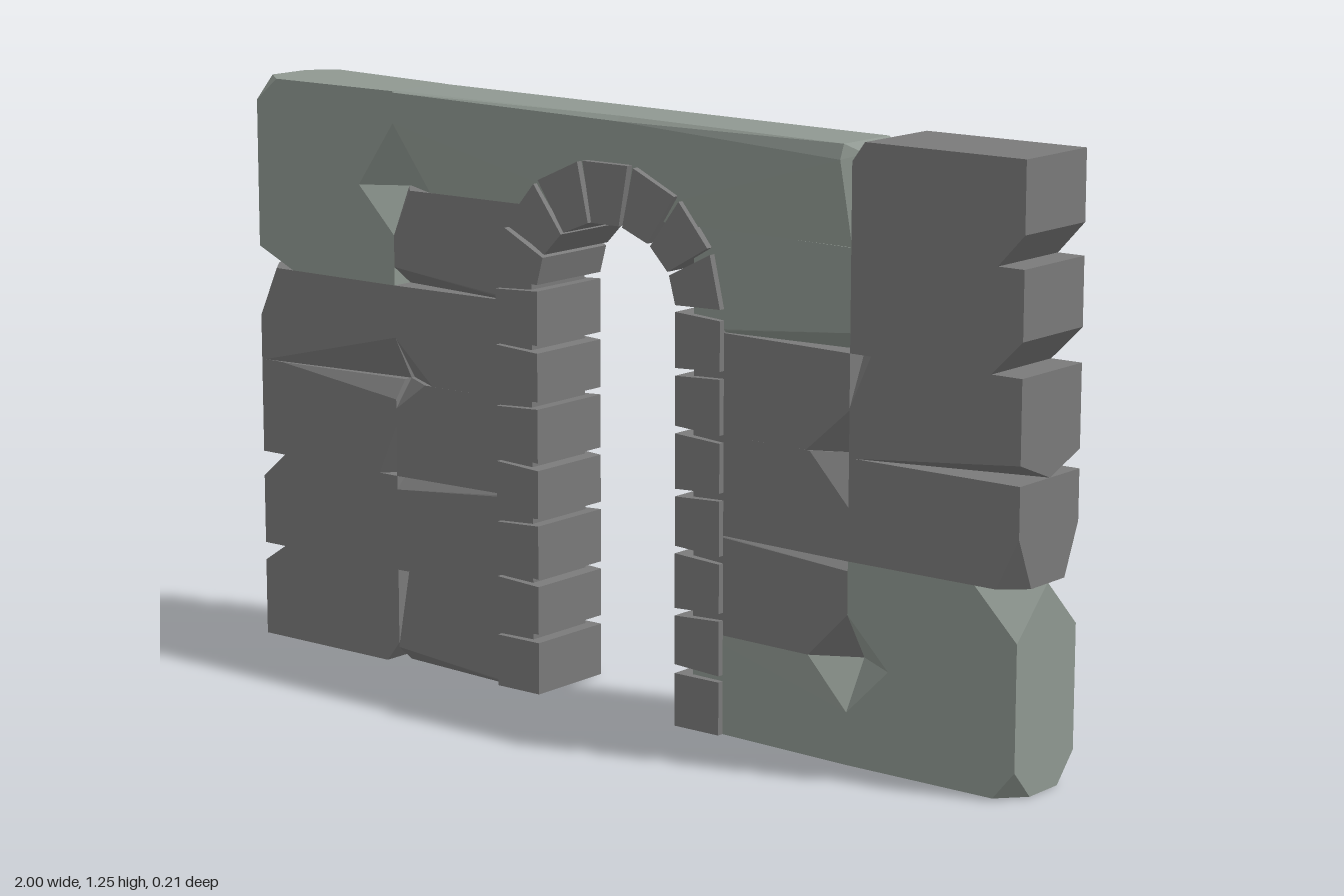
import * as THREE from 'three';
import { ConvexGeometry } from 'three/addons/geometries/ConvexGeometry.js';

const darkStone = new THREE.MeshStandardMaterial({ color: 0x7a7a7a, flatShading: true });
const paleStone = new THREE.MeshStandardMaterial({ color: 0x8f9891, flatShading: true });

const ROW = 1.25 / 6;
const COLUMNS = { outerLeft: [-1, -0.6], innerLeft: [-0.6, -0.23], innerRight: [0.2, 0.6], outerRight: [0.6, 1] };

// half thickness of the wall: full at the ends, slightly thinner beside the arch
const depth = (x) => 0.103 - Math.min(0.017, Math.max(0, 0.6 - Math.abs(x)) * 0.055);

function hull(name, points, material) {
  const mesh = new THREE.Mesh(new ConvexGeometry(points.map((p) => new THREE.Vector3(...p))), material);
  mesh.name = name;
  return mesh;
}

// Block with chipped corners. Key: b/t (bottom/top) + l/r (low x/high x).
// Value [dx, dy, dz, side]: dz = 0 bevels the whole edge; side limits the chip to front (1) or back (-1).
function block(name, [x0, x1], y0, y1, cuts, material) {
  const points = [];
  for (const [v, y, sy] of [['b', y0, 1], ['t', y1, -1]])
    for (const [h, x, sx] of [['l', x0, 1], ['r', x1, -1]])
      for (const side of [1, -1]) {
        const cut = cuts[v + h];
        if (!cut || (cut[3] && cut[3] !== side)) {
          points.push([x, y, side * depth(x)]);
          continue;
        }
        const [dx, dy, dz] = cut;
        const xi = x + sx * dx;
        points.push([xi, y, side * depth(xi)], [x, y + sy * dy, side * depth(x)]);
        if (dz) points.push([x, y, side * (depth(x) - dz)]);
      }
  return hull(name, points, material);
}

// Chips for each column, from the bottom row up
const star = [0.1, 0.1, 0.06];
const CHIPS = {
  outerLeft: [
    { tl: [0.06, 0.04, 0], br: [0.035, 0.045, 0] },
    { tl: [0.065, 0.055, 0] },
    { tl: [0.06, 0.045, 0], br: [0.05, 0.11, 0.06], tr: [0.4, 0.04, 0.03] },
    { bl: [0.01, 0.01, 0], br: [0.4, 0.095, 0.05], tl: [0.05, 0.11, 0.06] },
    { bl: [0.1, 0.045, 0.1], tr: star },
    { tl: [0.06, 0.05, 0.05], br: [0.1, 0.14, 0.06], tr: [0.35, 0.03, 0.04, -1] },
  ],
  innerLeft: [
    { bl: [0.33, 0.035, 0.04], tl: [0.03, 0.17, 0.04] },
    { tl: [0.33, 0.03, 0.03] },
    { tl: [0.08, 0.06, 0.05] },
    { bl: [0.1, 0.095, 0.06] },
    { bl: [0.33, 0.04, 0.05], tl: [0.045, 0.1, 0.05] },
  ],
  innerRight: [
    { tr: star },
    { br: star, tr: [0.36, 0.02, 0.03] },
    { tr: [0.1, 0.1, 0.06] },
    { br: [0.11, 0.095, 0.06] },
    { br: [0.37, 0.04, 0.05] },
  ],
  outerRight: [
    { br: [0.05, 0.06, 0.055], tl: star },
    { bl: star, tr: [0.1, 0.1, 0.105] },
    { br: [0.05, 0.105, 0.045] },
    { br: [0.39, 0.04, 0.103], tl: [0.05, 0.11, 0.05] },
    { br: [0.07, 0.07, 0] },
    { br: [0.06, 0.065, 0], tl: [0.03, 0.04, 0] },
  ],
};
const PALE = { outerLeft: [4, 5], innerLeft: [], innerRight: [0, 4], outerRight: [0, 1] };

function createWall() {
  const wall = new THREE.Group();
  wall.name = 'wallBlocks';
  for (const column in COLUMNS)
    CHIPS[column].forEach((cuts, row) => {
      const material = PALE[column].includes(row) ? paleStone : darkStone;
      wall.add(block(column + 'Block', COLUMNS[column], row * ROW, (row + 1) * ROW, cuts, material));
    });
  return wall;
}

// Long stone over the arch, in two facets, with worn upper edges
function createLintel() {
  const lintel = new THREE.Group();
  lintel.name = 'lintel';
  const y0 = 5 * ROW;
  const bottom = (x) => [1, -1].map((s) => [x, y0, s * depth(x)]);
  const top = (x, y, front, back) => [
    [x, y, depth(x) - 0.012], [x, y, -0.06],
    [x, y - front, depth(x)], [x, y - back, -depth(x)],
  ];
  const middle = [...bottom(0), ...top(0, 1.245, 0.01, 0.035)];
  const chipped = [1, -1].flatMap((s) => [
    [-0.5, y0, s * depth(-0.5)], [-0.6, y0, s * 0.045], [-0.6, y0 + 0.14, s * depth(-0.6)],
  ]);
  lintel.add(hull('lintelLeftHalf', [...chipped, ...top(-0.6, 1.25, 0.003, 0.03), ...middle], paleStone));
  const end = [1, -1].flatMap((s) => [[0.6, y0, s * 0.1], [0.6, 1.22, s * 0.06]]);
  lintel.add(hull('lintelRightHalf', [...middle, ...top(0.57, 1.24, 0.03, 0.04), ...end], paleStone));
  return lintel;
}

// Prism across the wall from a four-cornered front outline
const prism = (name, outline, z) =>
  hull(name, outline.flatMap(([x, y]) => [[x, y, z], [x, y, -z]]), darkStone);

function createArch() {
  const arch = new THREE.Group();
  arch.name = 'archSurround';
  const cx = -0.018, cy = 0.875, pitch = 0.125;

  // jamb stones, each slightly out of square
  for (const side of [-1, 1])
    for (let i = 0; i < 7; i++) {
      const inner = cx + side * 0.183, outer = cx + side * 0.297;
      const y = i * pitch, skew = i === 0 ? 0 : 0.006 * (i % 2 ? 1 : -1);
      arch.add(prism('jambStone', [
        [inner, y + Math.max(0, skew)], [outer, y + Math.max(0, -skew)],
        [outer, y + 0.112 + skew * 0.5], [inner, y + 0.112 - skew * 0.5],
      ], 0.103));
    }

  // wedge stones over the opening
  const step = Math.PI / 7, gap = 0.025;
  const at = (a, rx, ry) => [cx + rx * Math.cos(a), cy + ry * Math.sin(a)];
  for (let i = 0; i < 7; i++) {
    const a = i * step + gap, b = (i + 1) * step - gap;
    arch.add(prism(i === 3 ? 'keystone' : 'wedgeStone', [
      at(a, 0.183, 0.152), at(a, 0.297, 0.28), at(b, 0.297, 0.28), at(b, 0.183, 0.152),
    ], 0.103));
  }
  return arch;
}

export function createModel() {
  const model = new THREE.Group();
  model.name = 'stoneArchway';
  model.add(createWall(), createLintel(), createArch());
  return model;
}
